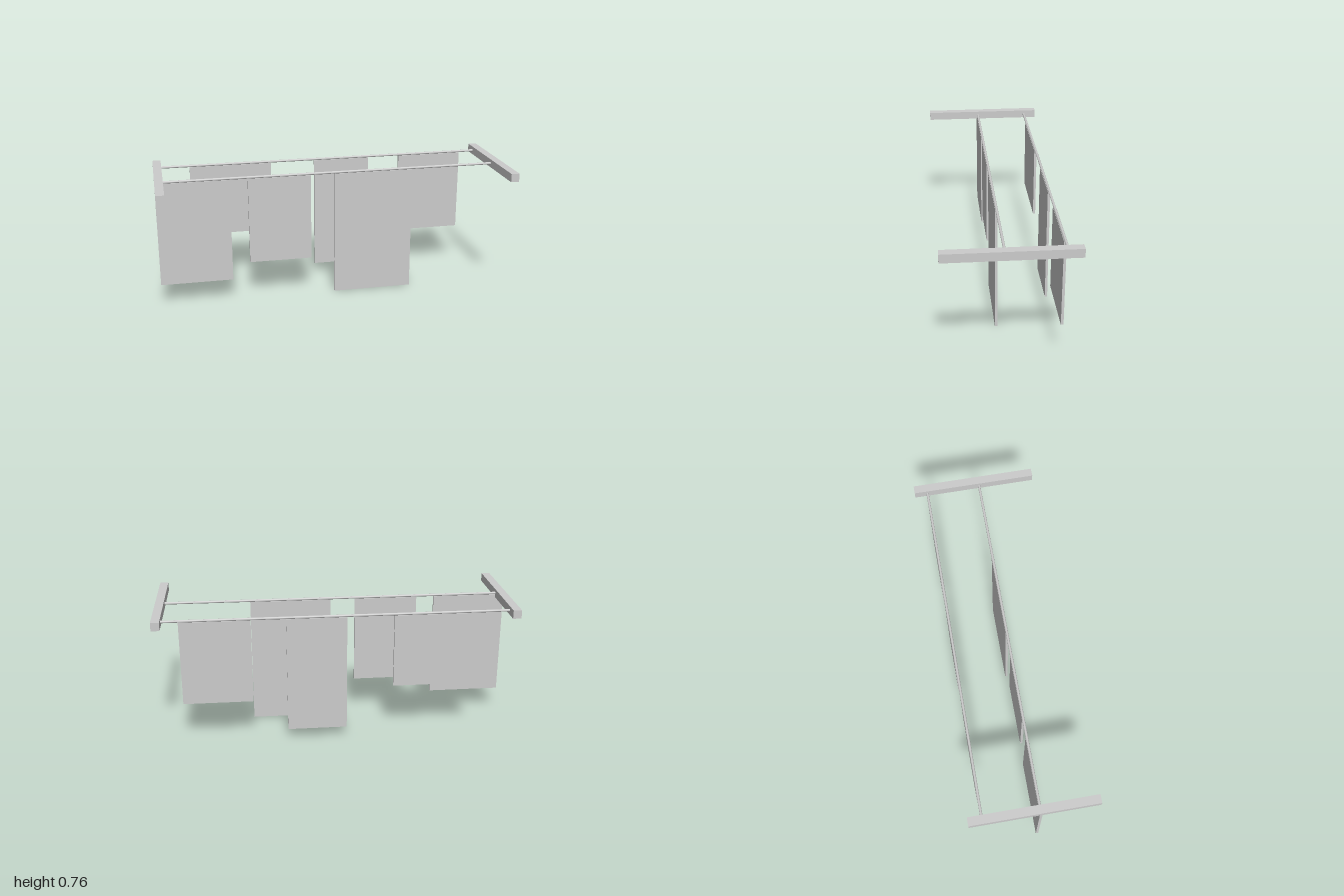
import * as THREE from 'three';

const material = new THREE.MeshStandardMaterial({ color: 0xcccccc });
const FRONT_Z = 0.031, BACK_Z = -0.273;

export function createModel() {
  const group = new THREE.Group();
  const add = (name, geometry, x, y, z) => {
    const mesh = new THREE.Mesh(geometry, material);
    mesh.name = name;
    mesh.position.set(x, y, z);
    group.add(mesh);
    return mesh;
  };

  // End beams carrying the rods
  for (const [name, side] of [['leftBeam', 1], ['rightBeam', -1]]) {
    add(name, new THREE.BoxGeometry(0.047, 0.047, 0.694), side * 0.9765, 0.7325, 0);
  }

  // Thin rods spanning between the beams
  for (const [name, z] of [['frontRod', FRONT_Z], ['backRod', BACK_Z]]) {
    add(name, new THREE.CylinderGeometry(0.007, 0.007, 1.91, 16), 0, 0.733, z).rotation.z = Math.PI / 2;
  }

  // Hanging panels: name, left edge, right edge, bottom, z
  const top = 0.726;
  const panels = [
    ['frontPanel1', -1, -0.588, 0.126, FRONT_Z],
    ['frontPanel2', -0.486, -0.127, 0.225, FRONT_Z],
    ['frontPanel3', 0.012, 0.472, 0, FRONT_Z],
    ['backPanel1', -0.79, -0.312, 0.307, BACK_Z],
    ['backPanel2', -0.05, 0.283, 0.063, BACK_Z],
    ['backPanel3', 0.474, 0.862, 0.247, BACK_Z],
  ];
  for (const [name, x0, x1, bottom, z] of panels) {
    add(name, new THREE.BoxGeometry(x1 - x0, top - bottom, 0.014), (x0 + x1) / 2, (top + bottom) / 2, z);
  }
  return group;
}
